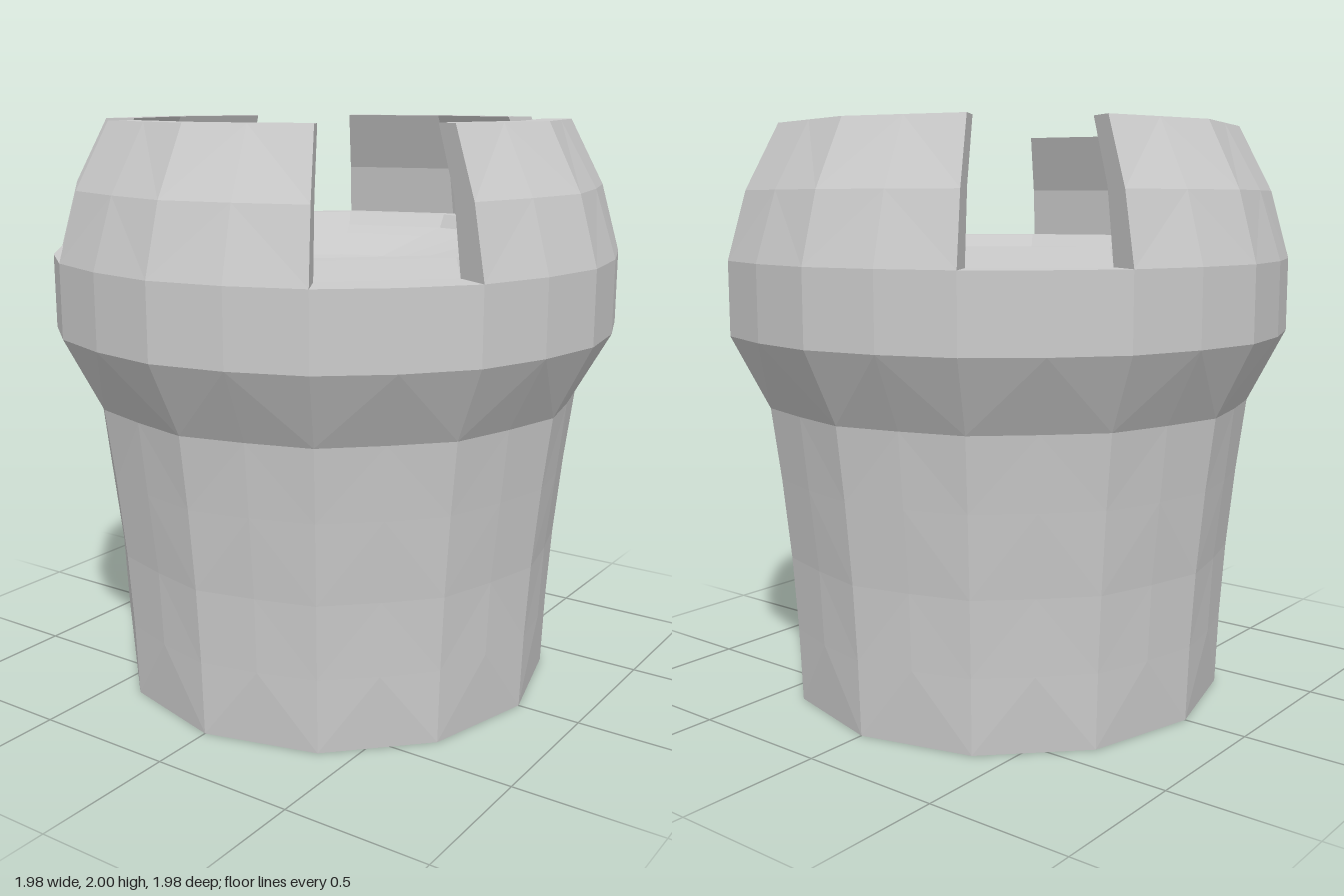
import * as THREE from 'three';

const STEP = Math.PI / 12; // 24 facets around
const FLAT = Math.cos(STEP); // keeps the in-between points on a 12-sided outline

// A ring row is [radius, height, radius factor of the in-between points].
function ringPoint([r, y, mid], i) {
  const k = i % 2 ? r * mid : r;
  return [k * Math.sin(i * STEP), y, k * Math.cos(i * STEP)];
}

function makeGeometry(points) {
  const geometry = new THREE.BufferGeometry();
  geometry.setAttribute('position', new THREE.Float32BufferAttribute(points.flat(), 3));
  geometry.computeVertexNormals();
  return geometry;
}

// Sweeps a profile round the axis with zigzag triangles, facing out on the way up.
function sweep(rows, from, to) {
  const out = [];
  for (let j = 0; j < rows.length - 1; j++) {
    for (let i = from; i < to; i++) {
      const a = ringPoint(rows[j], i), b = ringPoint(rows[j], i + 1);
      const c = ringPoint(rows[j + 1], i + 1), d = ringPoint(rows[j + 1], i);
      if (i % 2 === 0) out.push(a, b, c, a, c, d);
      else out.push(a, b, d, b, c, d);
    }
  }
  return out;
}

// Closes one end of a swept wall: outer rows pair with inner rows at each level.
function endCap(outer, inner, i, flip) {
  const out = [];
  for (let j = 0; j < outer.length - 1; j++) {
    const a = ringPoint(outer[j], i), b = ringPoint(inner[j], i);
    const c = ringPoint(inner[j + 1], i), d = ringPoint(outer[j + 1], i);
    if (flip) out.push(a, b, c, a, c, d);
    else out.push(a, c, b, a, d, c);
  }
  return out;
}

export function createModel() {
  const group = new THREE.Group();
  const material = new THREE.MeshStandardMaterial({ color: 0xcccccc, flatShading: true });
  const add = (name, points) => {
    const mesh = new THREE.Mesh(makeGeometry(points), material);
    mesh.name = name;
    group.add(mesh);
    return mesh;
  };

  // Tapered shaft with its closed base
  add('shaft', sweep([
    [0, 0, FLAT], [0.775, 0, FLAT], [0.785, 0.26, 0.98], [0.802, 0.52, 0.975],
    [0.83, 0.8, 0.98], [0.862, 1.05, 0.975],
  ], 0, 24));

  // Flared collar and the ledge the battlements stand on
  add('collar', sweep([
    [0.862, 1.05, 0.975], [0.99, 1.3, 0.99], [0.99, 1.55, 0.99], [0.857, 1.55, FLAT],
  ], 0, 24));

  // Raised rim and shallow dished floor
  add('floor', sweep([
    [0.857, 1.55, FLAT], [0.83, 1.61, FLAT], [0.77, 1.61, FLAT], [0.74, 1.56, FLAT],
    [0.6, 1.54, 0.98], [0.31, 1.49, 0.99], [0.16, 1.475, 0.99], [0, 1.47, 1],
  ], 0, 24));

  // Four curved battlements, each spanning 60 degrees
  const outer = [[0.99, 1.55, 0.99], [0.925, 1.78, 0.98], [0.81, 2, FLAT]];
  const inner = [[0.857, 1.55, FLAT], [0.81, 1.79, FLAT], [0.71, 2, FLAT]];
  const wall = [
    ...sweep([...outer, ...[...inner].reverse()], -2, 2),
    ...endCap(outer, inner, 2, true),
    ...endCap(outer, inner, -2, false),
  ];
  ['front', 'left', 'back', 'right'].forEach((side, k) => {
    add(side + 'Battlement', wall).rotation.y = k * Math.PI / 2;
  });

  return group;
}
